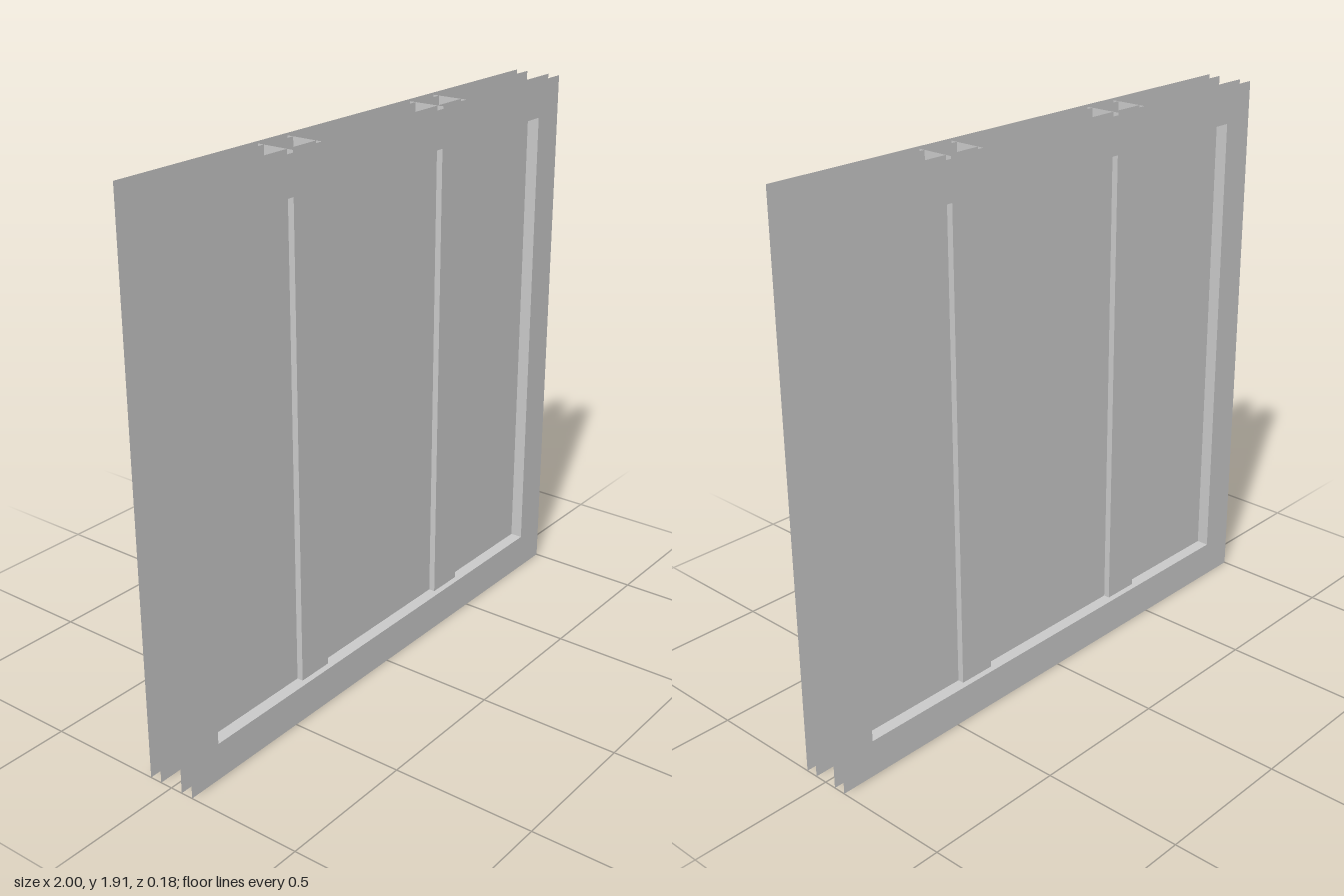
import * as THREE from 'three';

const W = 2, H = 1.914;              // outer sheet size
const OX = 0.874, BORDER = 0.13;     // opening half-width, border height
const FRAME_Z = 0.088, PANEL_Z = 0.044, STUD_Z = 0.066;

const material = new THREE.MeshStandardMaterial({ color: 0xcccccc, side: THREE.DoubleSide, flatShading: true });

export function createModel() {
  const group = new THREE.Group();
  const add = (name, geometry, x, y, z, ry = 0, rx = 0) => {
    const mesh = new THREE.Mesh(geometry, material);
    mesh.name = name;
    mesh.position.set(x, y, z);
    mesh.rotation.set(rx, ry, 0);
    group.add(mesh);
  };

  // Thin face frame with a rectangular opening
  const rect = (Type, x, y0, y1) => new Type([
    new THREE.Vector2(-x, y0), new THREE.Vector2(x, y0),
    new THREE.Vector2(x, y1), new THREE.Vector2(-x, y1),
  ]);
  const frame = rect(THREE.Shape, W / 2, 0, H);
  frame.holes.push(rect(THREE.Path, OX, BORDER, H - BORDER));

  // Front and back: face frame and solid panel sheet
  for (const [side, s] of [['front', 1], ['back', -1]]) {
    const turn = s > 0 ? 0 : Math.PI;
    add(side + 'Frame', new THREE.ShapeGeometry(frame), 0, 0, s * FRAME_Z, turn);
    add(side + 'Panel', new THREE.PlaneGeometry(W, H), 0, H / 2, s * PANEL_Z, turn);
  }

  // Walls lining the opening, running through the full depth
  const openH = H - 2 * BORDER;
  for (const s of [-1, 1]) {
    add('openingSideWall', new THREE.PlaneGeometry(2 * FRAME_Z, openH), s * OX, H / 2, 0, -s * Math.PI / 2);
    add('openingEndWall', new THREE.PlaneGeometry(2 * OX, 2 * FRAME_Z), 0, H / 2 + s * openH / 2, 0, 0, s * Math.PI / 2);
  }

  // Hollow upright posts, open at top and bottom
  const postW = 0.133;
  for (const [name, x] of [['rightPost', -0.372], ['leftPost', 0.383]]) {
    for (const s of [-1, 1]) {
      add(name + 'Face', new THREE.PlaneGeometry(postW, H), x, H / 2, s * STUD_Z, s > 0 ? 0 : Math.PI);
      add(name + 'Side', new THREE.PlaneGeometry(2 * STUD_Z, H), x + s * postW / 2, H / 2, 0, s * Math.PI / 2);
    }
  }
  return group;
}
